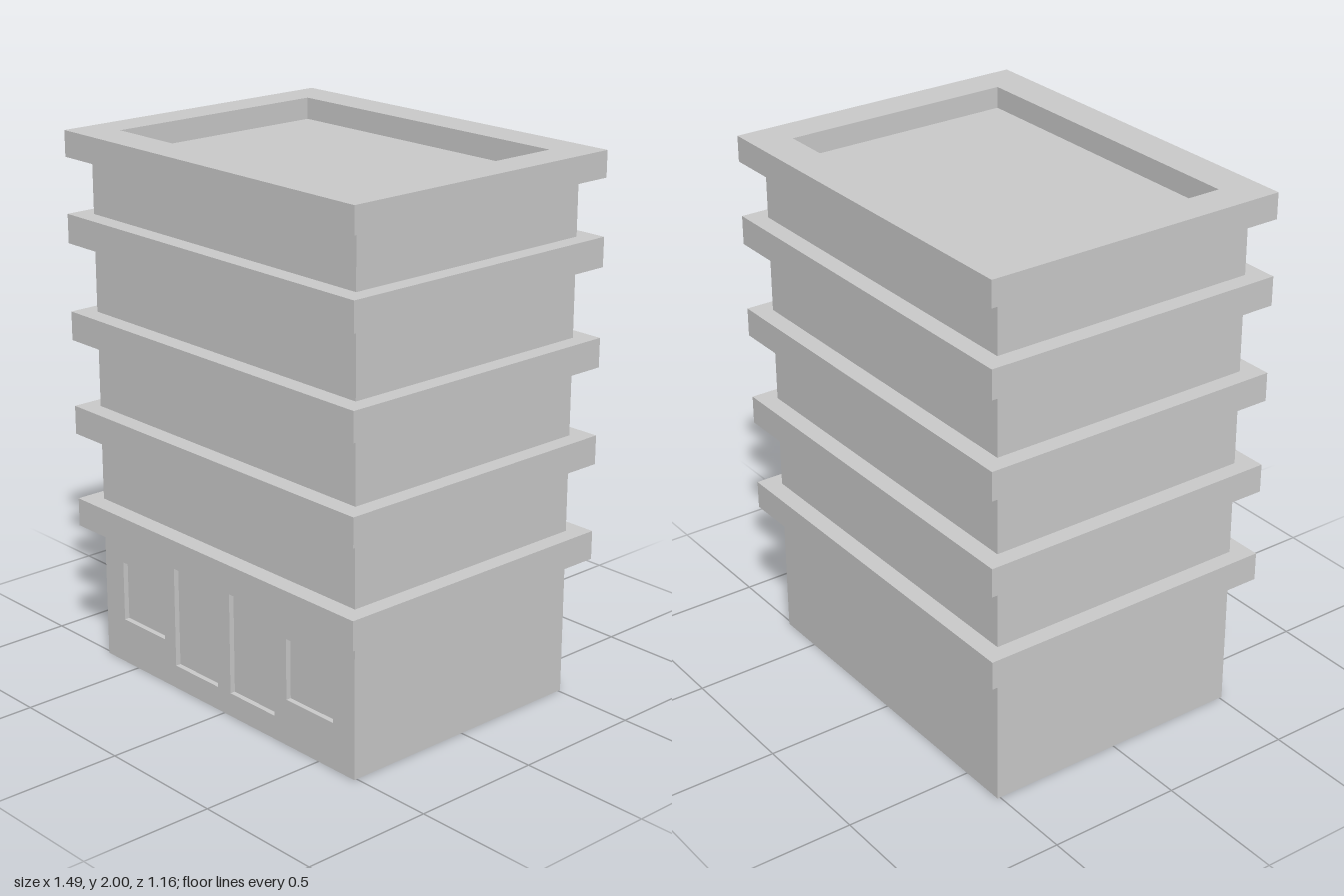
import * as THREE from 'three';

const W = 1.36, D = 1.022;            // tower body
const SLAB_W = 1.488, SLAB_D = 1.158; // projecting ledges
const RECESS = 0.02;                  // door and window depth
const DECK_Y = 1.92;                  // sunken roof level

const material = new THREE.MeshStandardMaterial({ color: 0xcccccc, flatShading: true });

function rectangle(PathType, x0, y0, x1, y1) {
  const p = new PathType();
  p.moveTo(x0, y0);
  p.lineTo(x1, y0);
  p.lineTo(x1, y1);
  p.lineTo(x0, y1);
  p.closePath();
  return p;
}

export function createModel() {
  const model = new THREE.Group();
  model.name = 'building';

  const add = (name, geometry, x, y, z) => {
    const mesh = new THREE.Mesh(geometry, material);
    mesh.name = name;
    mesh.position.set(x, y, z);
    model.add(mesh);
    return mesh;
  };
  const box = (name, w, d, y0, y1, z = 0) =>
    add(name, new THREE.BoxGeometry(w, y1 - y0, d), 0, (y0 + y1) / 2, z);

  // Ledges between the storeys: [bottom, top]
  const ledges = [[0.517, 0.624], [0.877, 0.984], [1.234, 1.341], [1.593, 1.7]];
  ledges.forEach(([y0, y1], i) => box(`ledge${i + 1}`, SLAB_W, SLAB_D, y0, y1));

  // Ground floor: core, whose front shows as the recessed panels
  const groundTop = ledges[0][0];
  box('groundFloor', W, D - RECESS, 0, groundTop, -RECESS / 2);

  // Front wall with openings for two doors and two windows
  const wall = rectangle(THREE.Shape, -W / 2, 0, W / 2, groundTop);
  for (const side of [-1, 1]) {
    wall.holes.push(rectangle(THREE.Path, side * 0.035, 0.089, side * 0.273, 0.487));
    wall.holes.push(rectangle(THREE.Path, side * 0.336, 0.173, side * 0.574, 0.402));
  }
  add('frontWall', new THREE.ExtrudeGeometry(wall, { depth: RECESS, bevelEnabled: false }),
    0, 0, D / 2 - RECESS);

  // Upper storeys; the last one forms the sunken roof deck
  ledges.forEach(([, y0], i) => {
    const y1 = i + 1 < ledges.length ? ledges[i + 1][0] : DECK_Y;
    box(`storey${i + 2}`, W, D, y0, y1);
  });

  // Roof parapet: a rectangular ring around the deck
  const ring = rectangle(THREE.Shape, -SLAB_W / 2, -SLAB_D / 2, SLAB_W / 2, SLAB_D / 2);
  ring.holes.push(rectangle(THREE.Path, -0.61, -0.438, 0.61, 0.438));
  const parapet = add('roofParapet',
    new THREE.ExtrudeGeometry(ring, { depth: 0.095, bevelEnabled: false }), 0, 1.905, 0);
  parapet.rotation.x = -Math.PI / 2;

  return model;
}
